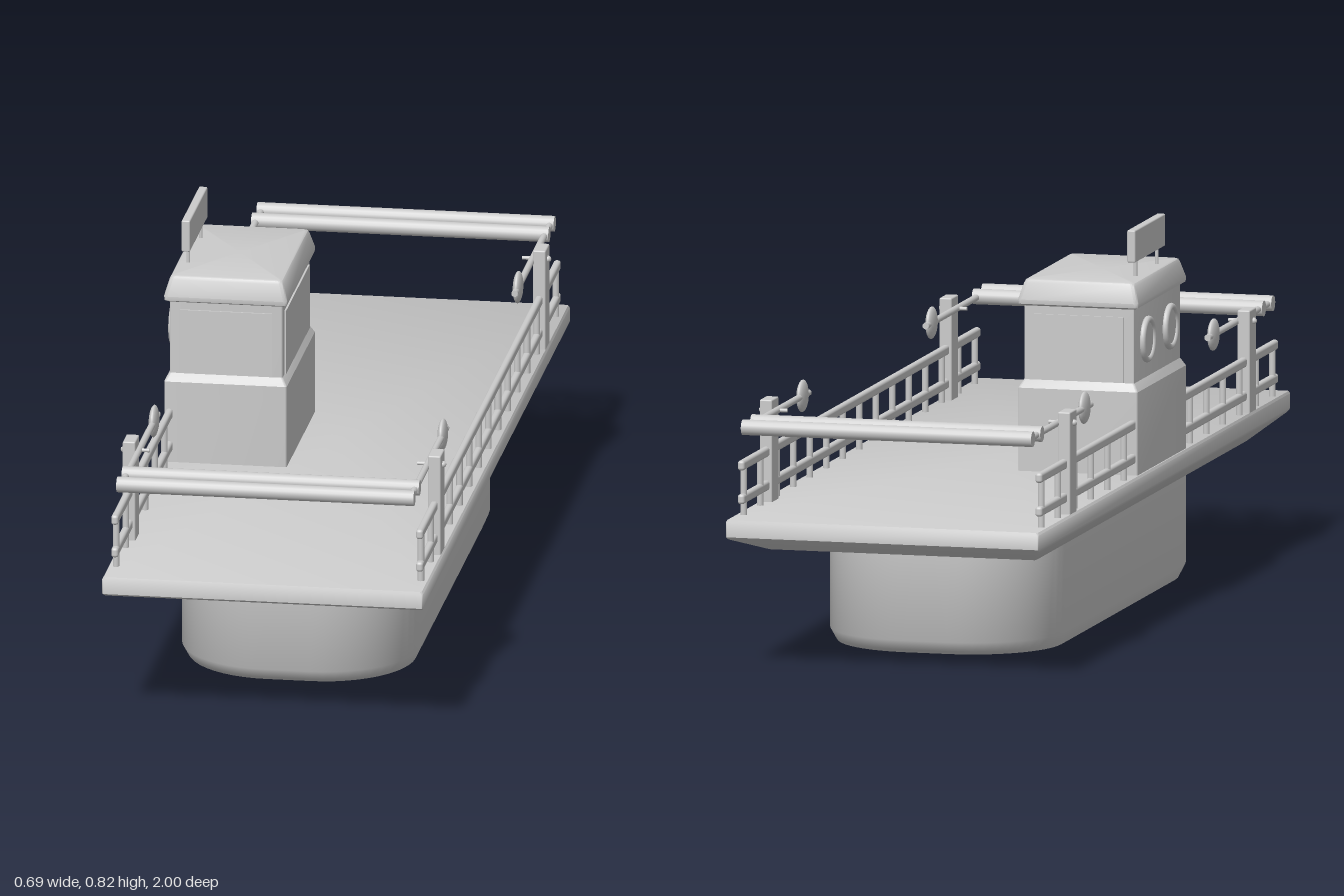
import * as THREE from 'three';
import { toCreasedNormals } from 'three/addons/utils/BufferGeometryUtils.js';
import { RoundedBoxGeometry } from 'three/addons/geometries/RoundedBoxGeometry.js';

const material = new THREE.MeshStandardMaterial({ color: 0xcccccc });

function add(parent, name, geometry, x = 0, y = 0, z = 0) {
  const mesh = new THREE.Mesh(geometry, material);
  mesh.name = name;
  mesh.position.set(x, y, z);
  parent.add(mesh);
  return mesh;
}

function group(parent, name) {
  const g = new THREE.Group();
  g.name = name;
  parent.add(g);
  return g;
}

// Closed solid through rounded rectangles, listed upwards as [y, halfX, halfZ, cornerRadius]
function loft(sections, crease, steps = 8) {
  const positions = [], index = [];
  const n = 4 * (steps + 1);
  for (const [y, hx, hz, r] of sections) {
    for (let q = 0; q < 4; q++) {
      const sx = q === 0 || q === 3 ? 1 : -1;
      const sz = q < 2 ? -1 : 1;
      for (let s = 0; s <= steps; s++) {
        const a = (q + s / steps) * Math.PI / 2;
        positions.push(sx * (hx - r) + r * Math.cos(a), y, sz * (hz - r) - r * Math.sin(a));
      }
    }
  }
  const last = sections.length - 1;
  for (let k = 0; k < last; k++) {
    for (let i = 0; i < n; i++) {
      const j = (i + 1) % n;
      const a = k * n + i, b = k * n + j;
      index.push(a, b, b + n, a, b + n, a + n);
    }
  }
  // caps
  const bottom = positions.length / 3;
  positions.push(0, sections[0][0], 0, 0, sections[last][0], 0);
  for (let i = 0; i < n; i++) {
    const j = (i + 1) % n;
    index.push(bottom, j, i, bottom + 1, last * n + i, last * n + j);
  }
  const g = new THREE.BufferGeometry();
  g.setAttribute('position', new THREE.Float32BufferAttribute(positions, 3));
  g.setIndex(index);
  return toCreasedNormals(g, crease);
}

const rodX = (r, length) => new THREE.CylinderGeometry(r, r, length, 16).rotateZ(Math.PI / 2);
const rodY = (r, length) => new THREE.CylinderGeometry(r, r, length, 12);
const rodZ = (r, length) => new THREE.CylinderGeometry(r, r, length, 12).rotateX(Math.PI / 2);

function addCabin(parent) {
  const cabin = group(parent, 'cabin');
  cabin.position.x = -0.203;
  add(cabin, 'cabinWalls', loft([
    [0.31, 0.129, 0.194, 0.004], [0.495, 0.129, 0.194, 0.004],
    [0.512, 0.119, 0.184, 0.004], [0.68, 0.119, 0.184, 0.004],
  ], 0.5, 3));
  add(cabin, 'cabinRoof', loft([
    [0.668, 0.122, 0.187, 0.006], [0.672, 0.129, 0.195, 0.008], [0.681, 0.13, 0.196, 0.008],
    [0.715, 0.12, 0.184, 0.008], [0.721, 0.117, 0.181, 0.008], [0.723, 0.112, 0.176, 0.008],
  ], 0.75, 4));
  // windows on three sides
  for (const s of [-1, 1]) {
    add(cabin, 'endWindow', new THREE.BoxGeometry(0.194, 0.138, 0.008), 0, 0.582, s * 0.184);
  }
  add(cabin, 'sideWindow', new THREE.BoxGeometry(0.008, 0.138, 0.32), 0.119, 0.582, 0);
  // portholes facing the water
  for (const z of [-0.09, 0.09]) {
    add(cabin, 'portholeRim', new THREE.TorusGeometry(0.042, 0.007, 10, 32).rotateY(Math.PI / 2), -0.123, 0.592, z);
    add(cabin, 'portholeGlass', rodX(0.04, 0.01), -0.12, 0.592, z);
  }
  // roof board on two pins
  add(cabin, 'roofBoard', new RoundedBoxGeometry(0.018, 0.068, 0.24, 2, 0.003), -0.095, 0.79, 0);
  for (const z of [-0.085, 0.085]) add(cabin, 'roofBoardPin', rodY(0.004, 0.05), -0.095, 0.738, z);
}

function addRailing(parent, side) {
  const railing = group(parent, side > 0 ? 'leftRailing' : 'rightRailing');
  const x = side * 0.321;
  // the railing on the cabin side is interrupted by the cabin
  const spans = side > 0 ? [[-0.94, 0.94]] : [[-0.94, -0.19], [0.19, 0.94]];
  for (const [z0, z1] of spans) {
    for (const y of [0.355, 0.426]) {
      add(railing, 'rail', new RoundedBoxGeometry(0.015, 0.021, z1 - z0, 3, 0.006), x, y, (z0 + z1) / 2);
    }
  }
  for (let k = -7; k <= 7; k++) {
    if (side < 0 && Math.abs(k) < 2) continue;
    add(railing, 'stanchion', rodY(0.007, 0.115), x, 0.372, k * 0.131);
  }
}

function addBarrier(parent, end) {
  const barrier = group(parent, end > 0 ? 'frontBarrier' : 'backBarrier');
  for (const s of [-1, 1]) {
    add(barrier, 'barrierPost', new RoundedBoxGeometry(0.027, 0.225, 0.054, 2, 0.003), s * 0.3215, 0.4225, end * 0.713);
    add(barrier, 'pivotPin', rodX(0.004, 0.06), s * 0.312, 0.51, end * 0.713);
    add(barrier, 'pivotKnob', new THREE.SphereGeometry(0.007, 12, 8), s * 0.336, 0.51, end * 0.713);
    add(barrier, 'barrierArm', rodZ(0.007, 0.49), s * 0.304, 0.51, end * 0.71);
    // lens shaped counterweight
    const weight = add(barrier, 'counterweight', new THREE.SphereGeometry(0.034, 20, 12), s * 0.304, 0.51, end * 0.512);
    weight.scale.x = 0.3;
  }
  for (const z of [0.88, 0.953]) {
    add(barrier, 'crossbar', rodX(0.0165, 0.626), 0, 0.51, end * z);
  }
}

export function createModel() {
  const ferry = new THREE.Group();
  ferry.name = 'ferry';

  // hull with round ends, deck with a sloping underside
  add(ferry, 'hull', loft([
    [0, 0.238, 0.642, 0.19], [0.007, 0.241, 0.65, 0.193],
    [0.028, 0.25, 0.665, 0.2], [0.25, 0.25, 0.665, 0.2],
  ], 0.8, 12));
  add(ferry, 'deck', loft([
    [0.237, 0.288, 0.84, 0.004], [0.278, 0.335, 0.99, 0.004],
    [0.284, 0.338, 1, 0.004], [0.315, 0.338, 1, 0.004], [0.32, 0.335, 0.997, 0.004],
  ], 0.9, 3));

  addCabin(ferry);
  for (const s of [-1, 1]) {
    addRailing(ferry, s);
    addBarrier(ferry, s);
  }
  return ferry;
}
